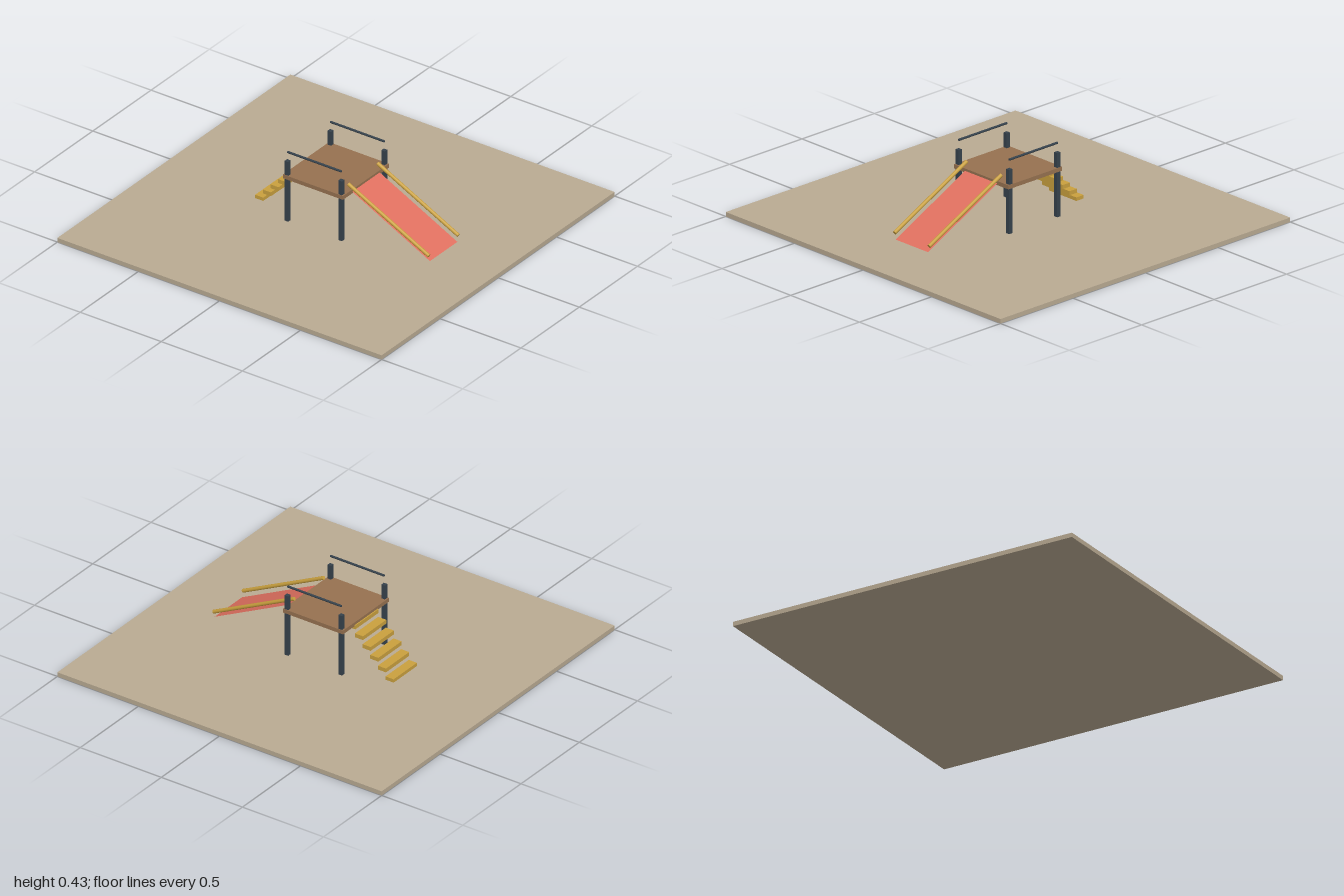
import * as THREE from 'three';

const material = (name, color) => Object.assign(new THREE.MeshStandardMaterial({ color }), { name });

export function createModel() {
  const model = new THREE.Group();
  model.name = 'playgroundSlide';

  const sand = material('sand', 0xb9aa92);
  const wood = material('brownWood', 0x967150);
  const steel = material('darkSteel', 0x36424c);
  const gold = material('goldenWood', 0xc9a03e);
  const red = material('slideRed', 0xe0705f);
  red.side = THREE.DoubleSide;

  const add = (name, geometry, mat, x, y, z) => {
    const mesh = new THREE.Mesh(geometry, mat);
    mesh.name = name;
    mesh.position.set(x, y, z);
    model.add(mesh);
    return mesh;
  };
  const box = (name, w, h, d, mat, x, y, z) =>
    add(name, new THREE.BoxGeometry(w, h, d), mat, x, y, z);

  // Round bar between two points
  const bar = (name, from, to, radius, mat) => {
    const a = new THREE.Vector3(...from), b = new THREE.Vector3(...to);
    const dir = b.clone().sub(a);
    const mid = a.add(b).multiplyScalar(0.5);
    const mesh = add(name, new THREE.CylinderGeometry(radius, radius, dir.length(), 12), mat, mid.x, mid.y, mid.z);
    mesh.quaternion.setFromUnitVectors(new THREE.Vector3(0, 1, 0), dir.normalize());
  };

  // Ground and raised deck
  box('ground', 2, 0.024, 2, sand, 0, 0.012, 0);
  box('platform', 0.396, 0.022, 0.37, wood, 0, 0.279, 0);

  for (const side of [-1, 1]) {
    // Corner posts, pushed down through the ground
    for (const end of [-1, 1]) {
      box('post', 0.022, 0.37, 0.022, steel, side * 0.184, 0.185, end * 0.166);
    }
    // Floating handrail and slide side rail
    bar('handrail', [side * 0.184, 0.42, -0.166], [side * 0.184, 0.42, 0.166], 0.006, steel);
    bar('slideRail', [side * 0.126, 0.32, 0.166], [side * 0.126, 0.072, 0.664], 0.01, gold);
  }

  // Slide: a flat sheet sloping down towards the front
  const top = { y: 0.286, z: 0.168 }, foot = { y: 0.038, z: 0.664 };
  const drop = top.y - foot.y, run = foot.z - top.z;
  const slide = add('slide', new THREE.PlaneGeometry(0.236, Math.hypot(drop, run)), red,
    0, (top.y + foot.y) / 2, (top.z + foot.z) / 2);
  slide.rotation.x = -Math.atan2(run, drop);

  // Open steps climbing to the back of the platform
  for (let i = 0; i < 6; i++) {
    box('step', 0.2, 0.022, 0.05, gold, 0, 0.032 + i * 0.0463, -0.402 + i * 0.0472);
  }

  return model;
}
